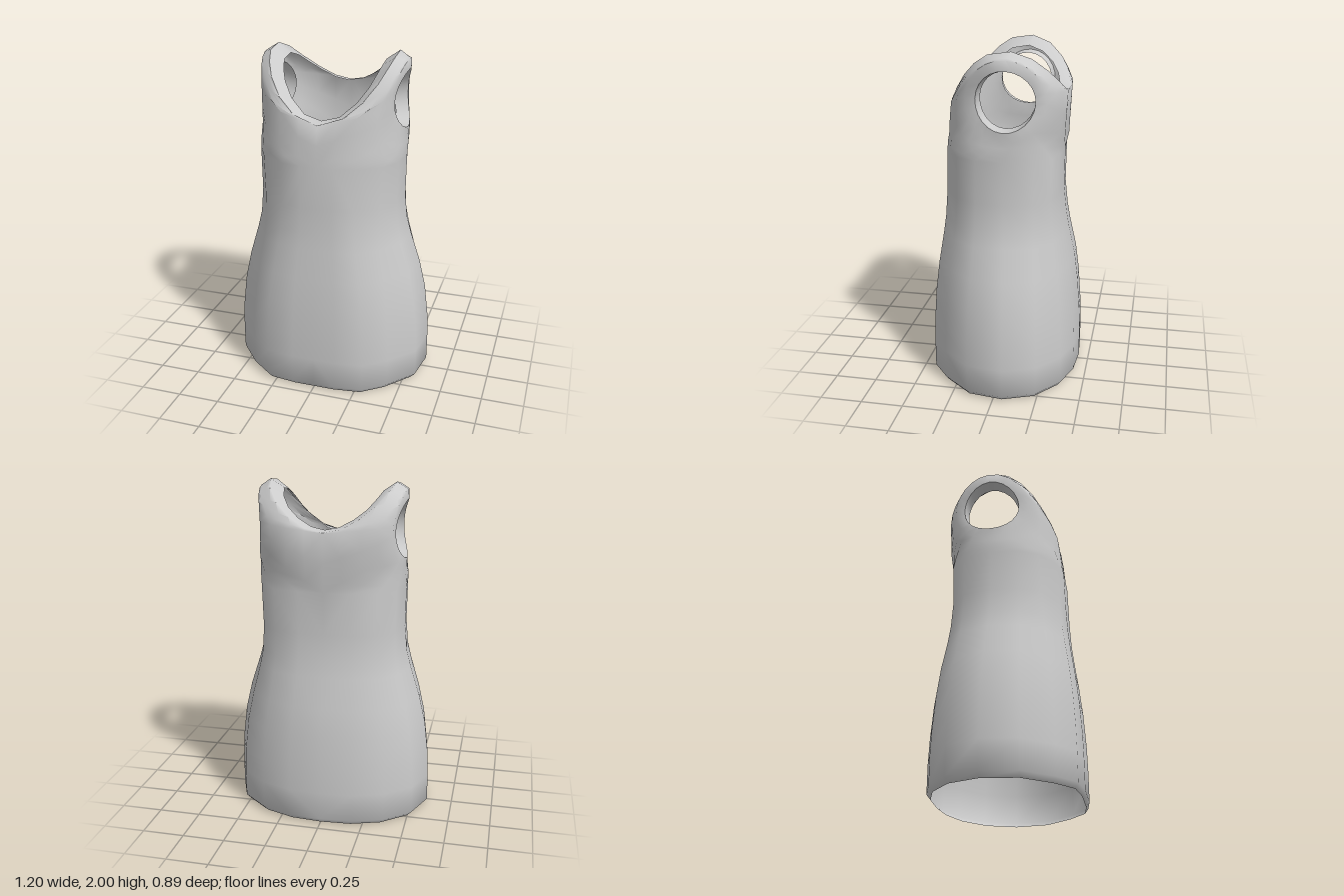
import * as THREE from 'three';
import { mergeVertices, toCreasedNormals } from 'three/addons/utils/BufferGeometryUtils.js';

const lerp = THREE.MathUtils.lerp;

// Half outline from centre back to centre front as [x, z] fractions: at the hem and at the chest
const hemOutline = [[0, -1], [.317, -.97], [.617, -.835], [.875, -.55], [1, -.125],
  [.95, .35], [.72, .72], [.5, .95], [.22, 1], [0, 1]];
const chestOutline = [[0, -1], [.35, -.97], [.7, -.88], [.92, -.62], [1, -.1],
  [.97, .35], [.82, .68], [.5, .93], [.22, 1], [0, 1]];

// Skirt and waist sections: y, half width, front depth, back depth
const levels = [[1.4, .433, .36, .328], [1.15, .43, .367, .325], [1.0, .445, .375, .342],
  [.9, .472, .386, .36], [.72, .53, .41, .4], [.55, .57, .428, .422], [.35, .594, .44, .437],
  [.2, .6, .443, .443], [.03, .6, .443, .443], [0, .572, .423, .42]];

// Neckline ridge from centre front over the shoulder to centre back
const neckline = [[0, 1.635, .33], [.13, 1.67, .318], [.24, 1.765, .27], [.31, 1.86, .205],
  [.345, 1.93, .14], [.367, 1.982, .06], [.367, 2, -.07], [.342, 1.96, -.18],
  [.285, 1.89, -.26], [.2, 1.82, -.312], [.1, 1.765, -.337], [0, 1.745, -.345]];

function section([y, w, front, back]) {
  const k = THREE.MathUtils.smoothstep(y, .6, 1.3);
  return hemOutline.map(([hx, hz], j) => {
    const [cx, cz] = chestOutline[j], z = lerp(hz, cz, k);
    return [w * lerp(hx, cx, k), y, z * (z > 0 ? front : back)];
  });
}

// Size of the rounded-box section passing through a point
const girth = ([x, , z]) => Math.pow(Math.pow(Math.abs(x) / .43, 2.5) + Math.pow(Math.abs(z) / .35, 2.5), .4);

// Blend two points while following the curve of the torso
function blend(a, b, k) {
  const p = a.map((v, i) => lerp(v, b[i], k));
  const s = lerp(girth(a), girth(b), k) / girth(p);
  return [p[0] * s, p[1], p[2] * s];
}

// Ring around the armhole
function armRing(count, radius, inset, dip) {
  return Array.from({ length: count }, (_, i) => {
    const a = (i / count) * Math.PI * 2 + .05;
    return [.432 - inset - dip * Math.cos(a) ** 2, 1.735 + radius * Math.sin(a), -.04 + radius * Math.cos(a)];
  });
}

// Join rows of points into a surface, on both sides of the body
function mirroredSurface(strips) {
  const pos = [];
  const tri = (...p) => {
    p.forEach(v => pos.push(...v));
    p.reverse().forEach(([x, y, z]) => pos.push(x === 0 ? 0 : -x, y, z));
  };
  for (const { rows, closed } of strips) {
    for (let r = 0; r + 1 < rows.length; r++) {
      const a = rows[r], b = rows[r + 1], n = a.length;
      for (let i = 0; i < (closed ? n : n - 1); i++) {
        const j = (i + 1) % n;
        // leave out the zero-area quads along the centre seams
        if (a[i][0] === 0 && a[j][0] === 0 && b[i][0] === 0 && b[j][0] === 0) continue;
        tri(a[i], a[j], b[i]);
        tri(a[j], b[j], b[i]);
      }
    }
  }
  const geo = new THREE.BufferGeometry();
  geo.setAttribute('position', new THREE.Float32BufferAttribute(pos, 3));
  return toCreasedNormals(mergeVertices(geo, 1e-4), Math.PI / 3);
}

export function createModel() {
  const group = new THREE.Group();
  group.name = 'sleevelessDress';
  const material = new THREE.MeshStandardMaterial({ color: 0xcccccc, side: THREE.DoubleSide });

  const skirtRows = levels.map(section);

  // Bodice: rings spreading from the armhole to neckline, centre seams and chest
  const border = [...neckline, [0, 1.57, -.334], ...skirtRows[0], [0, 1.52, .348]];
  const n = border.length;
  const lip = armRing(n, .158, .08, .045);
  const edge = armRing(n, .168, 0, .045);
  const band = armRing(n, .226, .003, .05);
  const spread = [.25, .5, .75].map(k => band.map((p, i) => blend(p, border[i], k)));

  // Neck lip folding inwards
  const neckLip = neckline.map(([x, y, z]) =>
    [x * .79, y + .006 - .06 * (x / .367) ** 2, z * (z > 0 ? .76 : .82)]);

  const dress = new THREE.Mesh(mirroredSurface([
    { rows: [lip, edge, band, ...spread, border], closed: true },
    { rows: [neckline, neckLip], closed: false },
    { rows: skirtRows, closed: false },
  ]), material);
  dress.name = 'dressShell';
  group.add(dress);
  return group;
}
